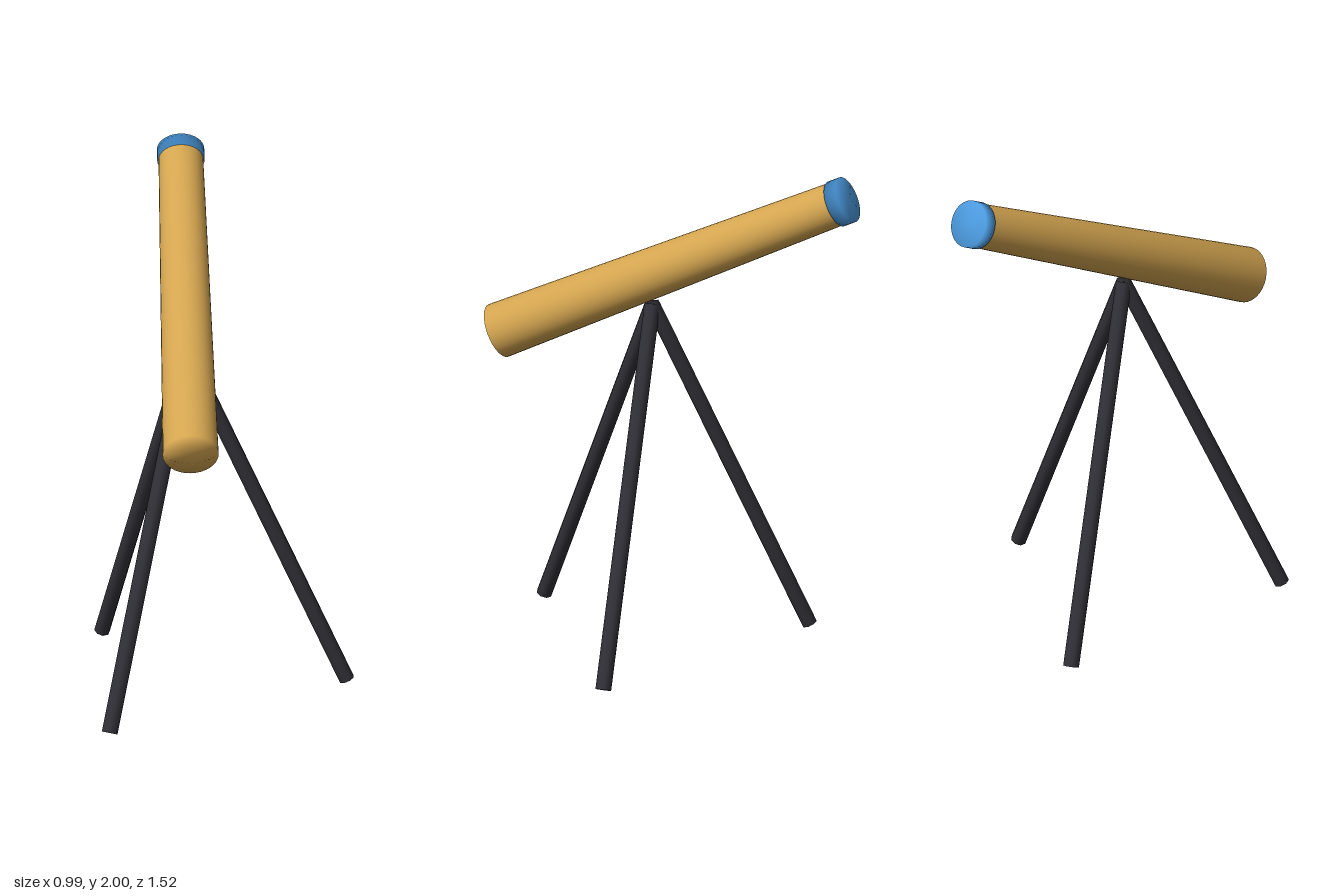
import * as THREE from 'three';

const brass = new THREE.MeshStandardMaterial({ color: 0xd4a550 });
brass.name = 'brass';
const glass = new THREE.MeshStandardMaterial({ color: 0x4a98dc });
glass.name = 'blue glass';
const dark = new THREE.MeshStandardMaterial({ color: 0x303037 });
dark.name = 'dark metal';

// Closed, softly shaded tapered rod rising along +y from the origin
function rod(name, r0, r1, length, sides, material, phase = 0) {
  const profile = [[0, 0], [r0, 0], [r1, length], [0, length]].map(([x, y]) => new THREE.Vector2(x, y));
  const mesh = new THREE.Mesh(new THREE.LatheGeometry(profile, sides, phase), material);
  mesh.name = name;
  return mesh;
}

export function createModel() {
  const model = new THREE.Group();
  model.name = 'telescope';
  const hubX = -0.157, hubZ = 0.083;

  // Sloping tube, wide end low at the front, with the lens on the raised end
  const scope = new THREE.Group();
  scope.name = 'scope';
  const tubeLength = 1.54;
  scope.add(rod('tube', 0.109, 0.087, tubeLength, 32, brass));
  const lens = rod('lens', 0.0925, 0.0925, 0.053, 32, glass);
  lens.position.y = tubeLength;
  scope.add(lens);
  scope.position.set(hubX, 1.207, 0.711);
  scope.rotation.x = -1.108;
  model.add(scope);

  // Three legs spread evenly from a shared apex
  const spread = 0.625, footY = 0.012, apexY = 1.39;
  const rise = apexY - footY;
  for (let i = 0; i < 3; i++) {
    const pivot = new THREE.Group();
    pivot.name = 'tripodLeg' + (i + 1);
    pivot.position.set(hubX, 0, hubZ);
    pivot.rotation.y = i * Math.PI * 2 / 3;
    const leg = rod('leg', 0.031, 0.031, Math.hypot(spread, rise), 8, dark, Math.PI / 8);
    leg.position.set(spread, footY, 0);
    leg.rotation.z = Math.atan2(spread, rise);
    pivot.add(leg);
    model.add(pivot);
  }
  return model;
}
